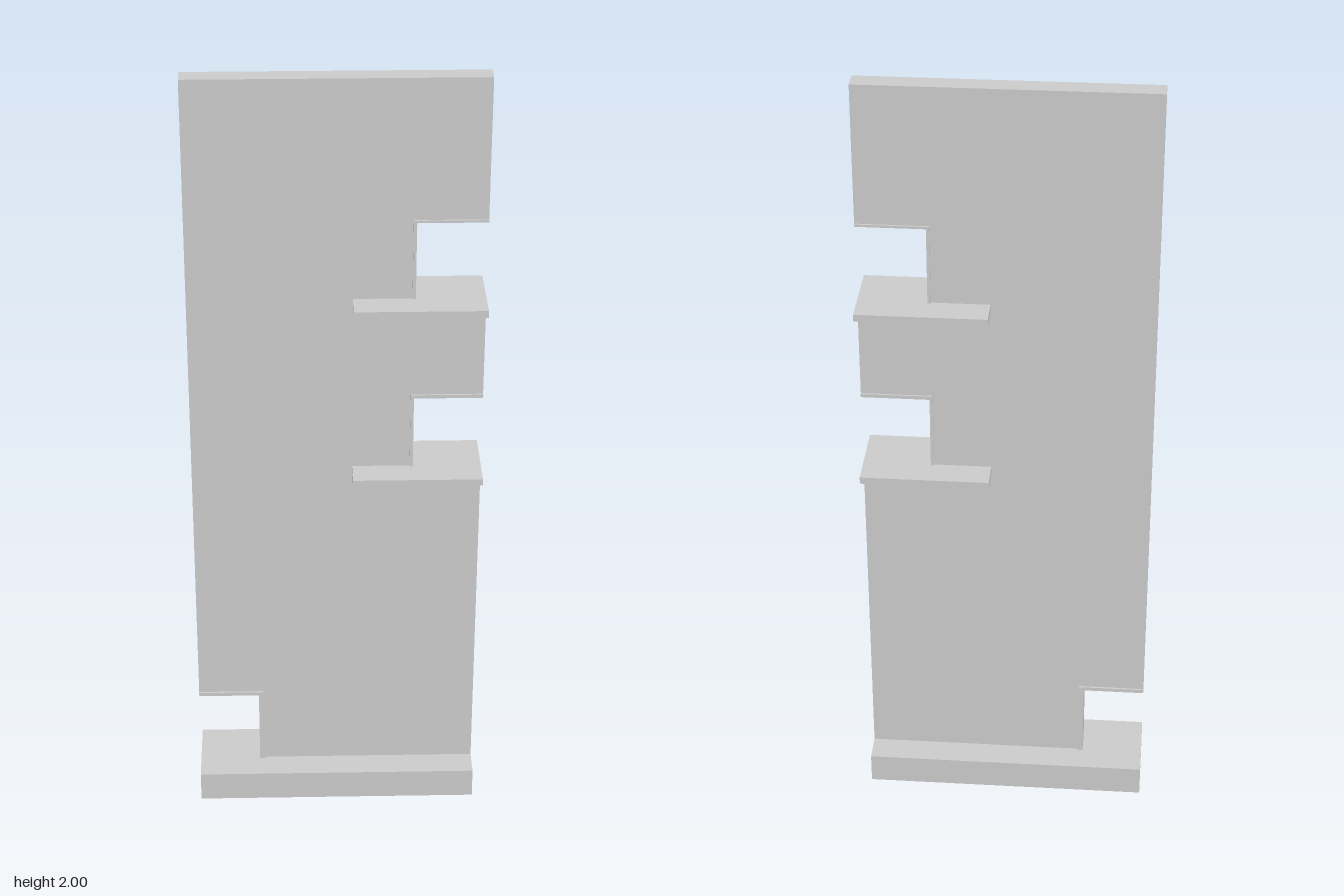
import * as THREE from 'three';

const HALF = 0.363; // half width of the slab

export function createModel() {
  const group = new THREE.Group();
  const material = new THREE.MeshStandardMaterial({ color: 0xcccccc });

  const add = (name, geometry) => {
    const mesh = new THREE.Mesh(geometry, material);
    mesh.name = name;
    group.add(mesh);
  };

  // Box given by its x and y limits, centred on z
  const addBox = (name, x0, x1, y0, y1, depth) => {
    const geometry = new THREE.BoxGeometry(x1 - x0, y1 - y0, depth);
    geometry.translate((x0 + x1) / 2, (y0 + y1) / 2, 0);
    add(name, geometry);
  };

  // Plate extruded from an outline, centred on z
  const addPlate = (name, points, depth) => {
    const shape = new THREE.Shape(points.map(([x, y]) => new THREE.Vector2(x, y)));
    const geometry = new THREE.ExtrudeGeometry(shape, { depth, bevelEnabled: false });
    geometry.translate(0, 0, -depth / 2);
    add(name, geometry);
  };

  // Openings cut into the sides: side, inner edge, bottom, top, trim width and height
  const notches = [
    { side: 1, inner: 0.192, bottom: 0.978, top: 1.17, tx: 0.008, ty: 0.009 },
    { side: 1, inner: 0.192, bottom: 1.441, top: 1.64, tx: 0.008, ty: 0.006 },
    { side: -1, inner: 0.205, bottom: 0.08, top: 0.285, tx: 0.014, ty: 0.01 },
  ];

  // Upright slab with its notched outline
  const [low, high, foot] = notches;
  addPlate('slab', [
    [-foot.inner, 0.08], [HALF, 0.08],
    [HALF, low.bottom], [low.inner, low.bottom], [low.inner, low.top], [HALF, low.top],
    [HALF, high.bottom], [high.inner, high.bottom], [high.inner, high.top], [HALF, high.top],
    [HALF, 2], [-HALF, 2], [-HALF, foot.top], [-foot.inner, foot.top],
  ], 0.052);

  // Base bar
  addBox('base', -HALF, HALF, 0, 0.08, 0.202);

  // Slightly proud trim around each opening
  for (const { side, inner, bottom, top, tx, ty } of notches) {
    const outline = [
      [inner - tx, bottom], [inner, bottom], [inner, top],
      [HALF, top], [HALF, top + ty], [inner - tx, top + ty],
    ].map(([x, y]) => [x * side, y]);
    if (side < 0) outline.reverse();
    addPlate('notchTrim', outline, 0.062);
  }

  // Shelves under the two openings on the left side
  for (const { bottom } of [low, high]) {
    addBox('shelf', 0.04, HALF, bottom - 0.018, bottom, 0.202);
  }

  return group;
}
